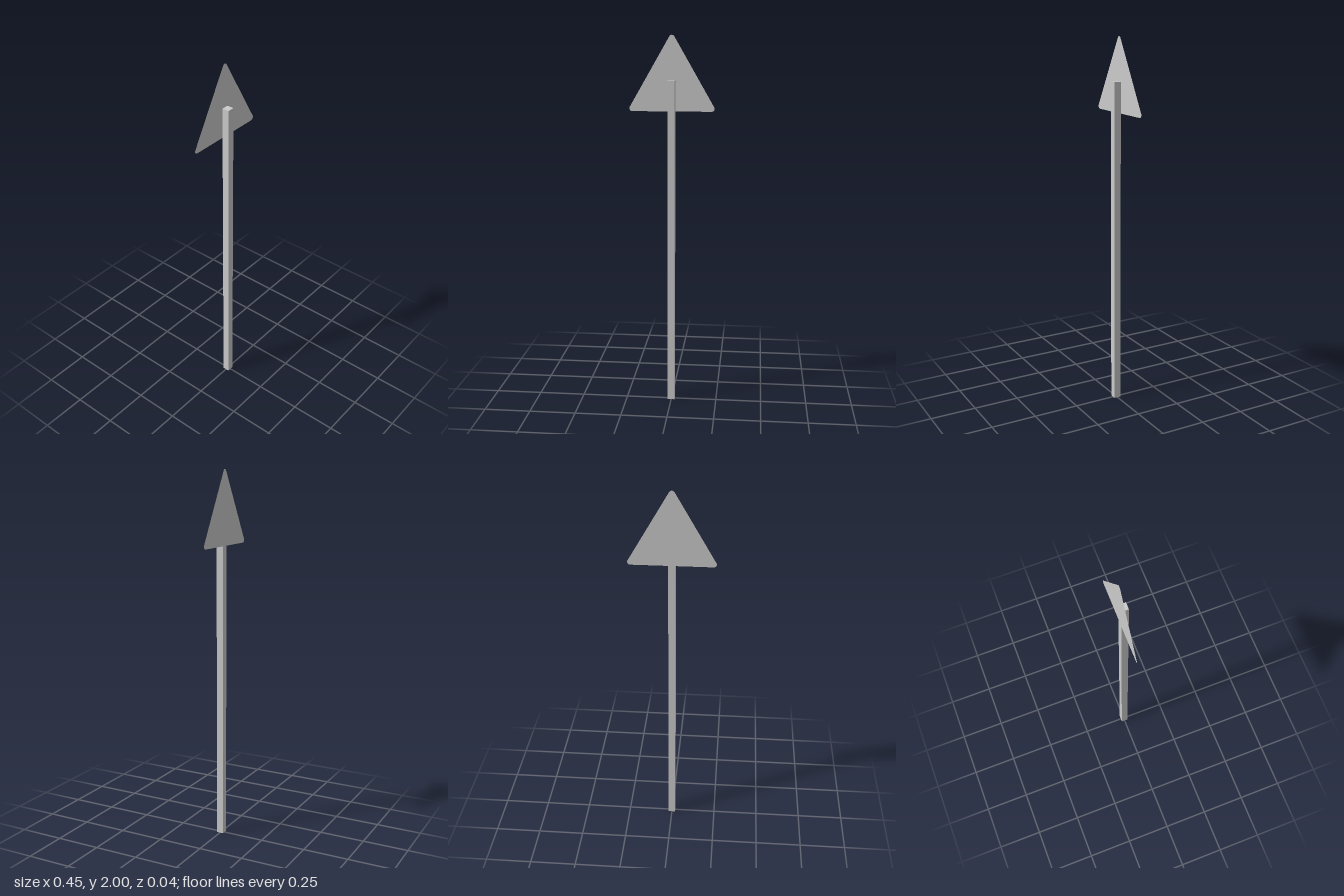
import * as THREE from 'three';

export function createModel() {
  const group = new THREE.Group();
  const grey = new THREE.MeshStandardMaterial({ color: 0xcccccc });
  const thin = new THREE.MeshStandardMaterial({ color: 0xcccccc, side: THREE.DoubleSide });

  // Square post
  const width = 0.038, height = 1.77;
  const post = new THREE.Mesh(new THREE.BoxGeometry(width, height, width), grey);
  post.name = 'post';
  post.position.y = height / 2;
  group.add(post);

  // Thin triangular plate with rounded corners: an arc around each corner centre
  const side = 0.42, radius = 0.015;
  const circumradius = side / Math.sqrt(3);
  const outline = new THREE.Shape();
  for (let i = 0; i < 3; i++) {
    const a = Math.PI / 2 + (i * 2 * Math.PI) / 3;
    outline.absarc(Math.cos(a) * circumradius, Math.sin(a) * circumradius,
      radius, a - Math.PI / 3, a + Math.PI / 3, false);
  }
  outline.closePath();
  const plate = new THREE.Mesh(new THREE.ShapeGeometry(outline, 8), thin);
  plate.name = 'signPlate';
  // Fixed to the back of the post, tip at the very top
  plate.position.set(0, 2 - radius - circumradius, -width / 2 - 0.0005);
  group.add(plate);

  return group;
}
